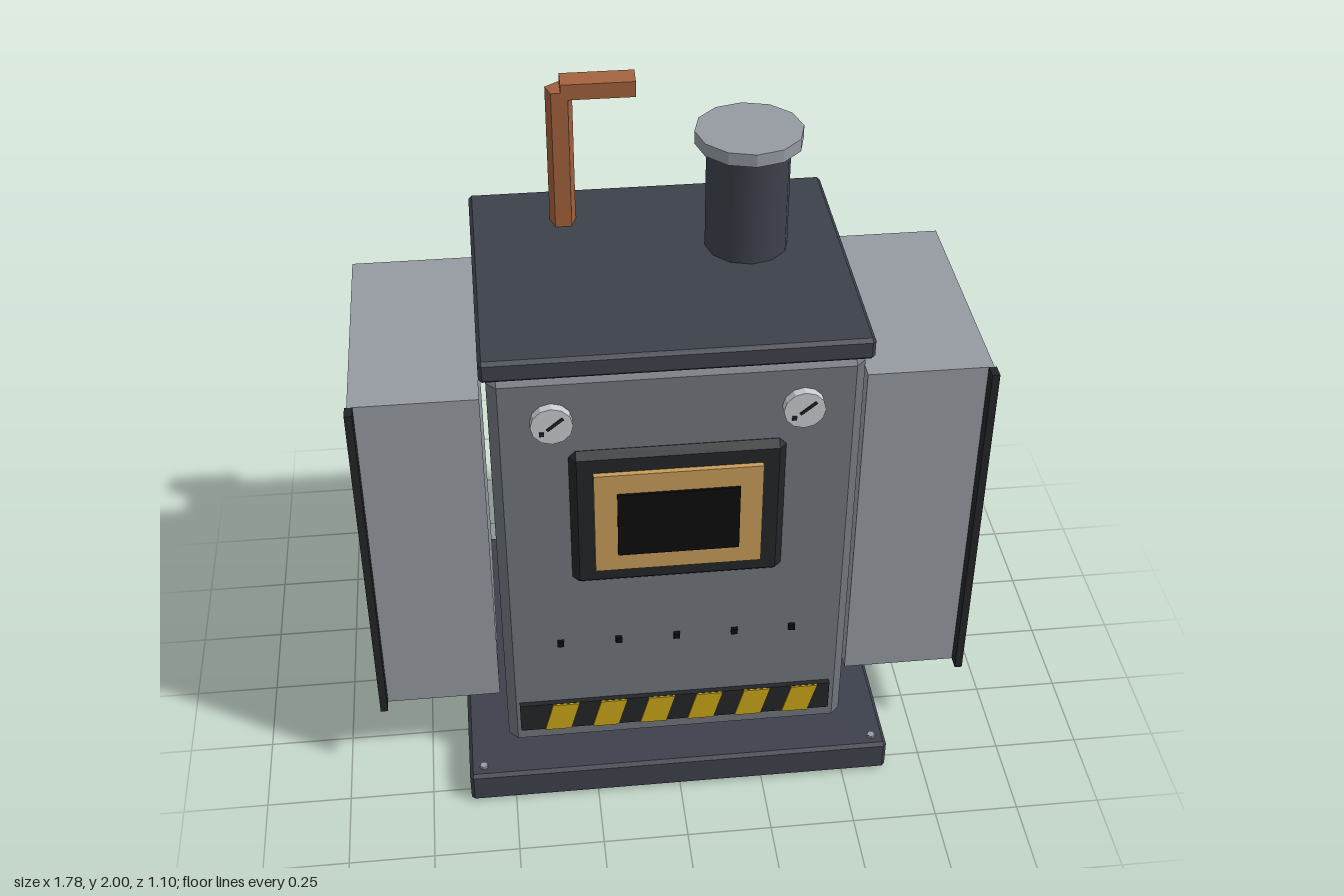
import * as THREE from 'three';
import { ConvexGeometry } from 'three/addons/geometries/ConvexGeometry.js';

const material = (color, flatShading = true) => new THREE.MeshStandardMaterial({ color, flatShading });
const MAT = {
  dark: material(0x3d414b),
  darkSmooth: material(0x3d414b, false),
  body: material(0x70757c),
  panel: material(0x959aa1),
  black: material(0x222528),
  glass: material(0x0c0c0d),
  brass: material(0xc89b5a),
  copper: material(0xa0603c),
  yellow: material(0xc8a418),
  dial: material(0xc8ccd0),
};

// Box with all twelve edges chamfered by b
function chamferBox(w, h, d, b) {
  const half = [w / 2, h / 2, d / 2];
  const points = [];
  for (const sx of [-1, 1]) for (const sy of [-1, 1]) for (const sz of [-1, 1]) {
    for (let full = 0; full < 3; full++) {
      const c = half.map((v, i) => (i === full ? v : v - b));
      points.push(new THREE.Vector3(sx * c[0], sy * c[1], sz * c[2]));
    }
  }
  return new ConvexGeometry(points);
}

export function createModel() {
  const model = new THREE.Group();
  model.name = 'furnace';

  const add = (name, geometry, mat, x, y, z, parent = model) => {
    const mesh = new THREE.Mesh(geometry, mat);
    mesh.name = name;
    mesh.position.set(x, y, z);
    parent.add(mesh);
    return mesh;
  };
  const box = (w, h, d) => new THREE.BoxGeometry(w, h, d);

  // Plinth, cabinet and lid
  add('base', chamferBox(1.27, 0.105, 1.1, 0.01), MAT.dark, 0, 0.0525, 0);
  add('body', chamferBox(1.02, 1.37, 0.855, 0.027), MAT.body, 0, 0.787, 0);
  add('lid', chamferBox(1.056, 0.066, 0.88, 0.01), MAT.dark, 0, 1.502, 0);

  // Bolts at the corners of the plinth
  for (const x of [-0.592, 0.592]) for (const z of [-0.512, 0.512]) {
    add('baseBolt', new THREE.CylinderGeometry(0.013, 0.013, 0.012, 5), MAT.panel, x, 0.108, z);
  }

  // Side tanks with a dark trim strip on the outer front edge
  for (const s of [-1, 1]) {
    const side = new THREE.Group();
    side.name = s > 0 ? 'leftSideBox' : 'rightSideBox';
    model.add(side);
    add('sidePanel', box(0.353, 1.105, 0.722), MAT.panel, s * 0.7065, 0.8125, 0, side);
    add('edgeStrip', box(0.022, 1.105, 0.04), MAT.black, s * 0.878, 0.8125, 0.381, side);
  }

  // Chimney and cap
  add('chimney', new THREE.CylinderGeometry(0.119, 0.119, 0.34, 12), MAT.darkSmooth, 0.253, 1.695, -0.085);
  add('chimneyCap', new THREE.CylinderGeometry(0.152, 0.152, 0.038, 12), MAT.panel, 0.253, 1.88, -0.085);

  // Five-sided copper pipe with a square elbow
  const pipe = (length) => new THREE.CylinderGeometry(0.04, 0.04, length, 5, 1, false, Math.PI);
  add('pipeRiser', pipe(0.44), MAT.copper, -0.258, 1.741, -0.257);
  add('pipeOutlet', pipe(0.21), MAT.copper, -0.15, 1.962, -0.257).rotation.z = Math.PI / 2;

  // Viewing window, stepped outwards
  add('windowSurround', chamferBox(0.6, 0.47, 0.05, 0.02), MAT.black, 0, 0.985, 0.424);
  add('windowFrame', box(0.47, 0.34, 0.04), MAT.brass, 0, 0.985, 0.445);
  add('windowGlass', box(0.342, 0.216, 0.03), MAT.glass, 0, 0.982, 0.457);

  // Pressure gauges
  for (const x of [-0.342, 0.342]) {
    const gauge = new THREE.Group();
    gauge.name = 'gauge';
    gauge.position.set(x, 1.327, 0.425);
    model.add(gauge);
    const face = new THREE.CylinderGeometry(0.058, 0.058, 0.03, 12);
    add('gaugeDial', face, MAT.dial, 0, 0, 0.014, gauge).rotation.x = Math.PI / 2;
    add('gaugeNeedle', box(0.056, 0.008, 0.006), MAT.black, 0.009, 0.008, 0.03, gauge).rotation.z = 0.7;
    add('gaugePin', box(0.013, 0.013, 0.006), MAT.black, -0.028, -0.022, 0.03, gauge);
  }

  // Row of vent studs
  for (let i = -2; i <= 2; i++) {
    add('ventStud', box(0.019, 0.019, 0.02), MAT.glass, i * 0.171, 0.515, 0.429);
  }

  // Hazard band with slanted stripes
  add('hazardBand', box(0.94, 0.102, 0.02), MAT.black, -0.003, 0.227, 0.434);
  const stripe = new THREE.Shape([[-0.053, -0.05], [0.026, -0.05], [0.053, 0.05], [-0.026, 0.05]]
    .map(([x, y]) => new THREE.Vector2(x, y)));
  const stripeGeometry = new THREE.ExtrudeGeometry(stripe, { depth: 0.012, bevelEnabled: false });
  for (let i = 0; i < 6; i++) {
    add('hazardStripe', stripeGeometry, MAT.yellow, -0.347 + i * 0.1445, 0.227, 0.437);
  }

  return model;
}
